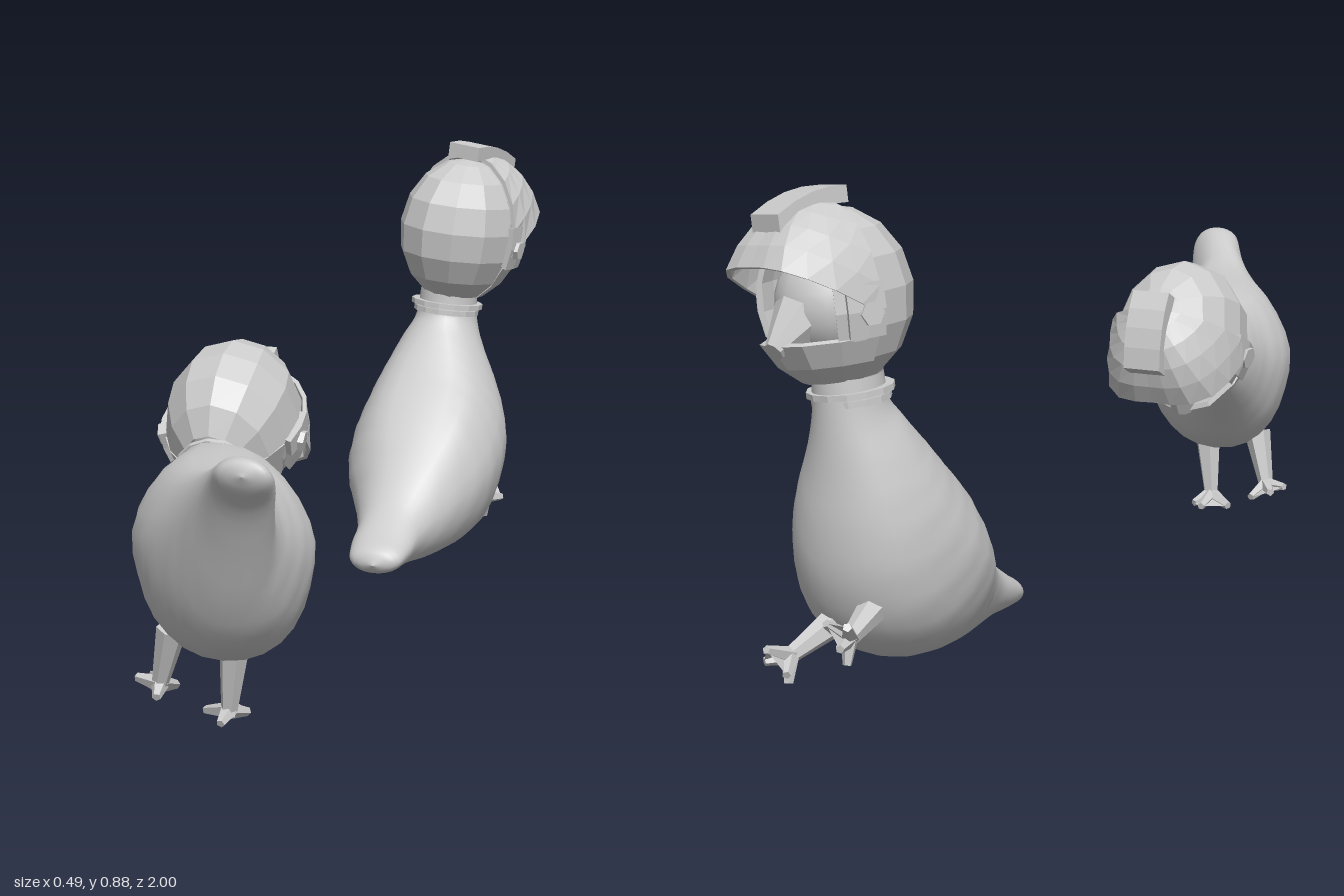
import * as THREE from 'three';

const smooth = new THREE.MeshStandardMaterial({ color: 0xcccccc, side: THREE.DoubleSide });
const faceted = new THREE.MeshStandardMaterial({ color: 0xcccccc, flatShading: true, side: THREE.DoubleSide });
const V = (p) => new THREE.Vector3(...p);
const RAD = Math.PI / 180;

function add(parent, name, geometry, material = faceted) {
  const mesh = new THREE.Mesh(geometry, material);
  mesh.name = name;
  parent.add(mesh);
  return mesh;
}

// Body skin from neck to tail; station: [back z, back y, belly z, belly y, centre x, half width]
function bodyGeometry(stations, rows = 44, sides = 28) {
  const back = new THREE.CatmullRomCurve3(stations.map((s) => new THREE.Vector3(s[5], s[1], s[0])));
  const belly = new THREE.CatmullRomCurve3(stations.map((s) => new THREE.Vector3(s[4], s[3], s[2])));
  const pos = [], index = [];
  for (let i = 0; i <= rows; i++) {
    const v = i / rows, a = back.getPoint(v), b = belly.getPoint(v);
    const mid = Math.sin(Math.PI * v) ** 2;
    for (let j = 0; j < sides; j++) {
      const t = (j / sides) * Math.PI * 2, c = Math.cos(t), s = Math.sin(t), k = (1 + s) / 2;
      // Broad shoulders, a soft swelling for the folded wing, and slight plumage lumps
      const wing = 0.06 * mid * Math.exp(-(((s - 0.25) / 0.35) ** 2));
      const lump = 0.014 * mid * Math.sin(5 * t + i * 0.9) * Math.sin(i * 1.3 + 2 * t);
      const power = 1 - mid * (0.2 + 0.12 * s);
      const x = Math.sign(c) * Math.abs(c) ** power * a.x * (0.98 + wing + lump);
      pos.push(b.x + x, b.y + (a.y - b.y) * k, b.z + (a.z - b.z) * k);
      if (i < rows) {
        const p = i * sides + j, q = i * sides + ((j + 1) % sides);
        index.push(p, q, p + sides, q, q + sides, p + sides);
      }
    }
  }
  const g = new THREE.BufferGeometry();
  g.setAttribute('position', new THREE.Float32BufferAttribute(pos, 3));
  g.setIndex(index);
  g.computeVertexNormals();
  return g;
}

// Tapered rod between two points
function rod(parent, name, from, to, r0, r1, sides = 6) {
  const a = V(from), b = V(to), d = b.clone().sub(a);
  const mesh = add(parent, name, new THREE.CylinderGeometry(r1, r0, d.length(), sides));
  mesh.position.copy(a).add(b).multiplyScalar(0.5);
  mesh.quaternion.setFromUnitVectors(new THREE.Vector3(0, 1, 0), d.normalize());
}

// Leg with three webbed front toes and one hind toe (last)
function addLeg(parent, { hip, ankle, toes }) {
  const leg = new THREE.Group();
  leg.name = 'leg';
  rod(leg, 'shin', hip, ankle, 0.028, 0.015);
  toes.forEach((toe) => rod(leg, 'toe', ankle, toe, 0.016, 0.008, 5));
  const web = new THREE.BufferGeometry().setFromPoints([ankle, toes[0], toes[1], toes[2]].map(V));
  web.setIndex([0, 2, 1, 0, 3, 2]);
  web.computeVertexNormals();
  add(leg, 'web', web);
  parent.add(leg);
}

// Thick egg-shaped patch: a box bent around the head; angles in degrees.
// The lower edge may vary with phi and may flare outwards
function shell(phi, span, top, bottom, inner, outer, nx, ny, flare = () => 0) {
  const g = new THREE.BoxGeometry(1, 1, 1, nx, ny, 1), p = g.attributes.position;
  for (let i = 0; i < p.count; i++) {
    const f = p.getX(i) * span, down = 0.5 - p.getY(i);
    const low = typeof bottom === 'function' ? bottom(f) : bottom;
    const th = (top + (low - top) * down) * RAD, ph = (phi + f) * RAD;
    const r = (p.getZ(i) > 0 ? outer : inner) + down * flare(f * RAD);
    p.setXYZ(i, 0.127 * r * Math.sin(th) * Math.sin(ph), 0.157 * r * Math.cos(th), 0.15 * r * Math.sin(th) * Math.cos(ph));
  }
  g.computeVertexNormals();
  return g;
}

function makeHelmet() {
  const h = new THREE.Group();
  h.name = 'helmetedHead';
  add(h, 'rearShell', shell(180, 180, 0, 152, 0.94, 1, 6, 7));
  add(h, 'forehead', shell(0, 180, 0, 60, 0.92, 0.98, 6, 3));
  add(h, 'chinGuard', shell(0, 180, 114, 152, 0.94, 1.01, 6, 2));
  // Raised visor with a squared-off brim
  const brim = (f) => Math.max(0, Math.cos(f)) * (0.1 + 0.18 * Math.sin(2 * f) ** 2);
  add(h, 'visor', shell(0, 180, 4, (f) => 66 + 36 * (f / 90) ** 2, 1.02, 1.08, 12, 5, brim));

  // Cheeks, ear plates and hinges on both sides
  for (const s of [-1, 1]) {
    add(h, 'cheek', shell(s * 74, 32, 58, 116, 0.92, 0.99, 2, 3));
    add(h, 'earPlate', shell(s * 79, 26, 80, 112, 0.98, 1.09, 2, 2));
    const hinge = add(h, 'earHinge', new THREE.CylinderGeometry(0.02, 0.022, 0.012, 6));
    hinge.position.set(s * 0.135, -0.022, 0.025);
    hinge.rotation.set(0, -s * 11 * RAD, Math.PI / 2, 'YXZ');
  }

  // Crest bent over the crown
  const crest = new THREE.BoxGeometry(0.076, 0.03, 0.15, 2, 1, 4), p = crest.attributes.position;
  for (let i = 0; i < p.count; i++) {
    const z = p.getZ(i) + 0.045;
    p.setXYZ(i, p.getX(i), p.getY(i) + 0.174 - 2.2 * z * z, z);
  }
  crest.computeVertexNormals();
  add(h, 'crest', crest);

  // Head and short blunt bill inside the opening
  add(h, 'head', new THREE.SphereGeometry(0.104, 16, 12), smooth).position.set(0, -0.01, -0.005);
  rod(h, 'bill', [0, -0.025, 0.07], [0, -0.072, 0.135], 0.052, 0.018, 8);
  return h;
}

function makeBird(name, spec) {
  const bird = new THREE.Group();
  bird.name = name;
  add(bird, 'body', bodyGeometry(spec.stations), smooth);

  // Collar of two rings around the neck
  const collar = new THREE.Group();
  collar.name = 'collar';
  [[0.07, 0], [0.077, 0.014]].forEach(([r, y]) => {
    add(collar, 'collarRing', new THREE.CylinderGeometry(r, r, 0.011, 14)).position.y = y;
  });
  collar.position.copy(V(spec.collar.at));
  collar.quaternion.setFromUnitVectors(new THREE.Vector3(0, 1, 0), V(spec.collar.axis).normalize());
  bird.add(collar);

  const helmet = makeHelmet();
  helmet.position.copy(V(spec.head.at));
  helmet.rotation.set(...spec.head.turn, 'ZYX');
  bird.add(helmet);
  spec.legs.forEach((leg) => addLeg(bird, leg));
  return bird;
}

const standing = {
  stations: [
    [0.33, 0.44, 0.33, 0.35, -0.1, 0.05],
    [0.38, 0.447, 0.38, 0.31, -0.09, 0.06],
    [0.43, 0.457, 0.43, 0.27, -0.08, 0.071],
    [0.49, 0.47, 0.49, 0.222, -0.052, 0.098],
    [0.55, 0.48, 0.55, 0.17, -0.018, 0.13],
    [0.62, 0.484, 0.62, 0.137, 0.005, 0.156],
    [0.69, 0.486, 0.69, 0.128, 0.027, 0.163],
    [0.76, 0.488, 0.76, 0.149, 0.048, 0.143],
    [0.82, 0.495, 0.82, 0.192, 0.072, 0.11],
    [0.87, 0.51, 0.865, 0.265, 0.095, 0.082],
    [0.92, 0.535, 0.91, 0.37, 0.126, 0.064],
    [0.96, 0.55, 0.95, 0.455, 0.148, 0.056],
    [0.99, 0.549, 0.985, 0.495, 0.158, 0.045],
    [1.0, 0.525, 1.0, 0.523, 0.16, 0.001],
  ],
  collar: { at: [-0.09, 0.378, 0.39], axis: [-0.1, 0.3, -0.9] },
  head: { at: [-0.105, 0.458, 0.215], turn: [1.08, Math.PI, 0] },
  legs: [
    { hip: [0.04, 0.15, 0.67], ankle: [0.025, 0.025, 0.655],
      toes: [[-0.03, 0.012, 0.62], [0.02, 0.012, 0.59], [0.045, 0.012, 0.61], [0.02, 0.01, 0.69]] },
    { hip: [-0.075, 0.17, 0.67], ankle: [-0.105, 0.062, 0.65],
      toes: [[-0.155, 0.065, 0.63], [-0.14, 0.06, 0.59], [-0.095, 0.045, 0.59], [-0.1, 0.047, 0.685]] },
  ],
};

const sitting = {
  stations: [
    [-0.755, 0.57, -0.885, 0.56, 0.055, 0.062],
    [-0.75, 0.52, -0.886, 0.48, 0.05, 0.068],
    [-0.735, 0.495, -0.888, 0.39, 0.045, 0.09],
    [-0.715, 0.47, -0.89, 0.29, 0.045, 0.115],
    [-0.69, 0.44, -0.876, 0.19, 0.045, 0.138],
    [-0.655, 0.4, -0.83, 0.097, 0.045, 0.156],
    [-0.61, 0.355, -0.75, 0.042, 0.042, 0.16],
    [-0.56, 0.3, -0.65, 0.024, 0.04, 0.146],
    [-0.51, 0.233, -0.54, 0.022, 0.035, 0.108],
    [-0.45, 0.162, -0.44, 0.03, 0.025, 0.072],
    [-0.385, 0.115, -0.37, 0.034, 0.02, 0.064],
    [-0.335, 0.088, -0.335, 0.038, 0.02, 0.05],
    [-0.32, 0.058, -0.32, 0.056, 0.02, 0.001],
  ],
  collar: { at: [0.05, 0.518, -0.815], axis: [0.1, 1, -0.05] },
  head: { at: [0.08, 0.692, -0.825], turn: [0, Math.PI - 0.36, -0.12] },
  legs: [
    { hip: [0, 0.16, -0.83], ankle: [-0.01, 0.13, -0.935],
      toes: [[-0.035, 0.165, -0.985], [0.01, 0.165, -0.98], [-0.02, 0.125, -0.985], [-0.01, 0.085, -0.945]] },
    { hip: [0.085, 0.12, -0.82], ankle: [0.115, 0.08, -0.925],
      toes: [[0.145, 0.075, -0.96], [0.125, 0.105, -0.985], [0.095, 0.06, -0.97], [0.11, 0.035, -0.94]] },
  ],
};

export function createModel() {
  const model = new THREE.Group();
  model.name = 'helmetedBirds';
  model.add(makeBird('standingBird', standing), makeBird('sittingBird', sitting));
  return model;
}
